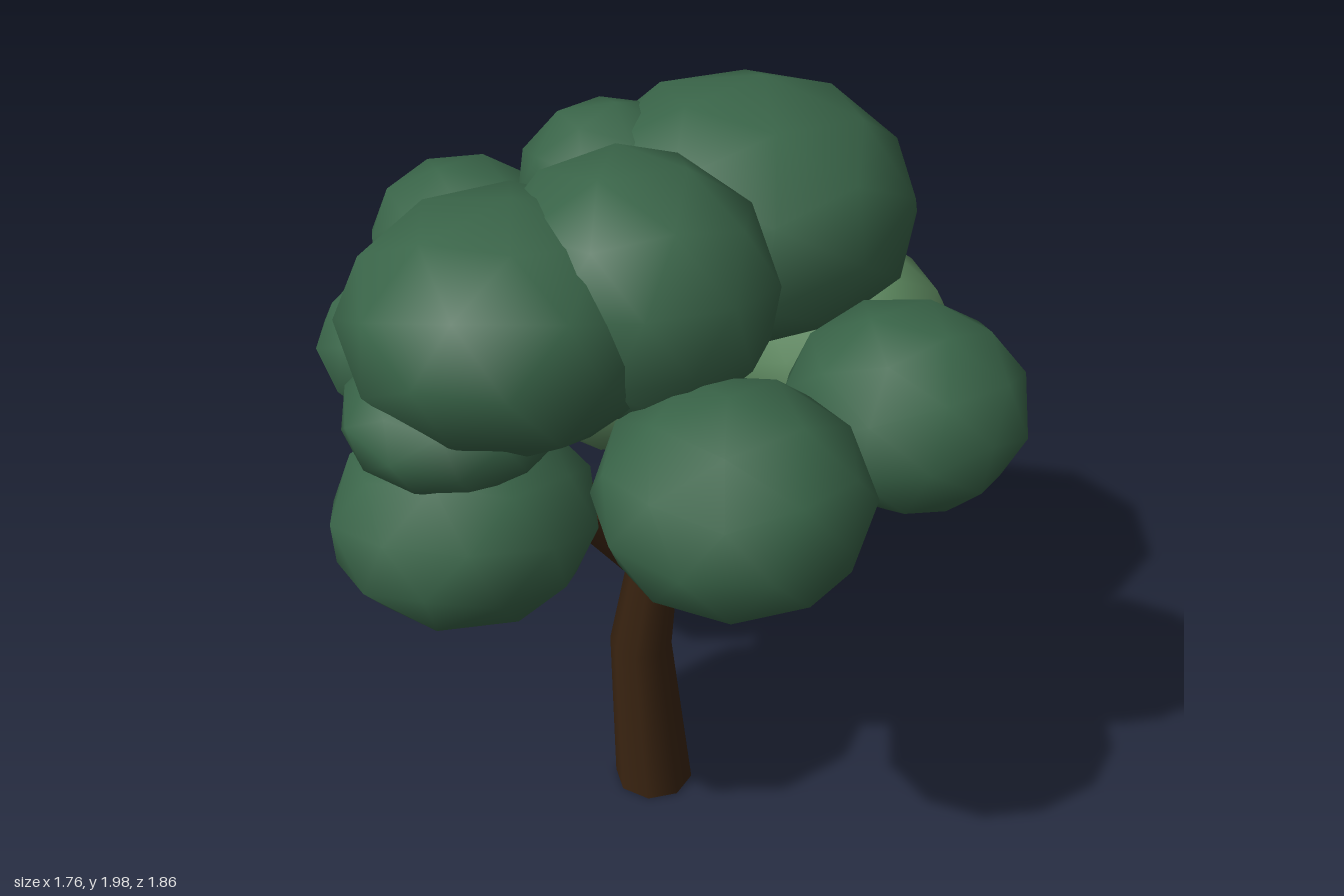
import * as THREE from 'three';

const bark = new THREE.MeshStandardMaterial({ name: 'bark brown', color: 0x3a2411 });
const dark = new THREE.MeshStandardMaterial({ name: 'dark leaf green', color: 0x396448 });
const light = new THREE.MeshStandardMaterial({ name: 'light leaf green', color: 0x5b865d });

// Faceted outline with smooth normals, turned differently for each clump
function leafClump(name, [x, y, z], [rx, ry, rz], material, turn) {
  const geometry = new THREE.IcosahedronGeometry(1.02, 1);
  geometry.rotateX(turn * 0.7).rotateY(turn * 1.3);
  const mesh = new THREE.Mesh(geometry, material);
  mesh.name = name;
  mesh.position.set(x, y, z);
  mesh.scale.set(rx, ry, rz);
  return mesh;
}

// Bent eight-sided trunk: each ring of a cylinder moves to its own centre and radius
function trunk() {
  const rings = [ // x, y, z, radius
    [-0.015, 0.015, 0.04, 0.11],
    [-0.04, 0.5, 0.062, 0.085],
    [-0.005, 0.77, 0.045, 0.069],
    [0.01, 0.96, 0.04, 0.066],
  ];
  const geometry = new THREE.CylinderGeometry(1, 1, 3, 8, 3);
  const p = geometry.attributes.position;
  for (let i = 0; i < p.count; i++) {
    const [x, y, z, r] = rings[Math.round(p.getY(i) + 1.5)];
    p.setXYZ(i, x + p.getX(i) * r, y, z + p.getZ(i) * r);
  }
  const mesh = new THREE.Mesh(geometry, bark);
  mesh.name = 'trunk';
  return mesh;
}

// Tapered limb between two points
function branch(name, from, to) {
  const a = new THREE.Vector3(...from);
  const b = new THREE.Vector3(...to);
  const mesh = new THREE.Mesh(new THREE.CylinderGeometry(0.025, 0.036, a.distanceTo(b), 8), bark);
  mesh.name = name;
  mesh.position.copy(a).lerp(b, 0.5);
  mesh.quaternion.setFromUnitVectors(new THREE.Vector3(0, 1, 0), b.sub(a).normalize());
  return mesh;
}

export function createModel() {
  const tree = new THREE.Group();
  tree.name = 'tree';
  tree.add(trunk());

  // Limbs fanning out of the trunk top
  tree.add(
    branch('rightBranch', [0.03, 0.77, 0.04], [0.45, 1.24, 0.04]),
    branch('leftBranch', [-0.03, 0.77, 0.06], [-0.4, 1.24, 0.27]),
    branch('backBranch', [0.02, 0.76, 0.01], [0.02, 1.11, -0.29]),
    branch('frontBranch', [0.02, 0.77, 0.08], [0.04, 1.11, 0.36]),
    branch('smallBackBranch', [-0.03, 0.78, 0.03], [-0.16, 1.03, -0.12]),
  );

  // Crown: name, centre, radii, colour
  const clumps = [
    ['lowBackLeaves', [-0.08, 1.22, -0.59], [0.37, 0.29, 0.34], light],
    ['lowLeftLeaves', [-0.5, 1.14, -0.22], [0.37, 0.28, 0.36], light],
    ['topBackLeaves', [-0.1, 1.66, -0.32], [0.44, 0.32, 0.43], dark],
    ['topLeaves', [0.16, 1.7, 0.22], [0.35, 0.3, 0.31], dark],
    ['frontLeaves', [0.05, 1.65, 0.48], [0.37, 0.28, 0.37], dark],
    ['lowFrontLeaves', [0.04, 1.19, 0.62], [0.31, 0.24, 0.31], dark],
    ['middleFrontLeaves', [0.03, 1.46, 0.62], [0.25, 0.16, 0.25], dark],
    ['rightFrontLeaves', [0.57, 1.37, 0.26], [0.31, 0.25, 0.3], dark],
    ['rightBackLeaves', [0.54, 1.39, -0.28], [0.29, 0.24, 0.28], dark],
    ['leftLeaves', [-0.56, 1.52, 0.2], [0.3, 0.23, 0.25], dark],
    ['outerLeftLeaves', [-0.65, 1.36, 0.19], [0.23, 0.2, 0.22], dark],
    ['leftFrontLeaves', [-0.49, 1.35, 0.4], [0.26, 0.2, 0.27], dark],
    ['leftBackLeaves', [-0.55, 1.45, -0.17], [0.26, 0.21, 0.26], dark],
    ['upperLeftLeaves', [-0.31, 1.7, -0.07], [0.26, 0.22, 0.23], dark],
  ];
  clumps.forEach(([name, centre, radii, material], i) =>
    tree.add(leafClump(name, centre, radii, material, i + 0.4)));
  return tree;
}
